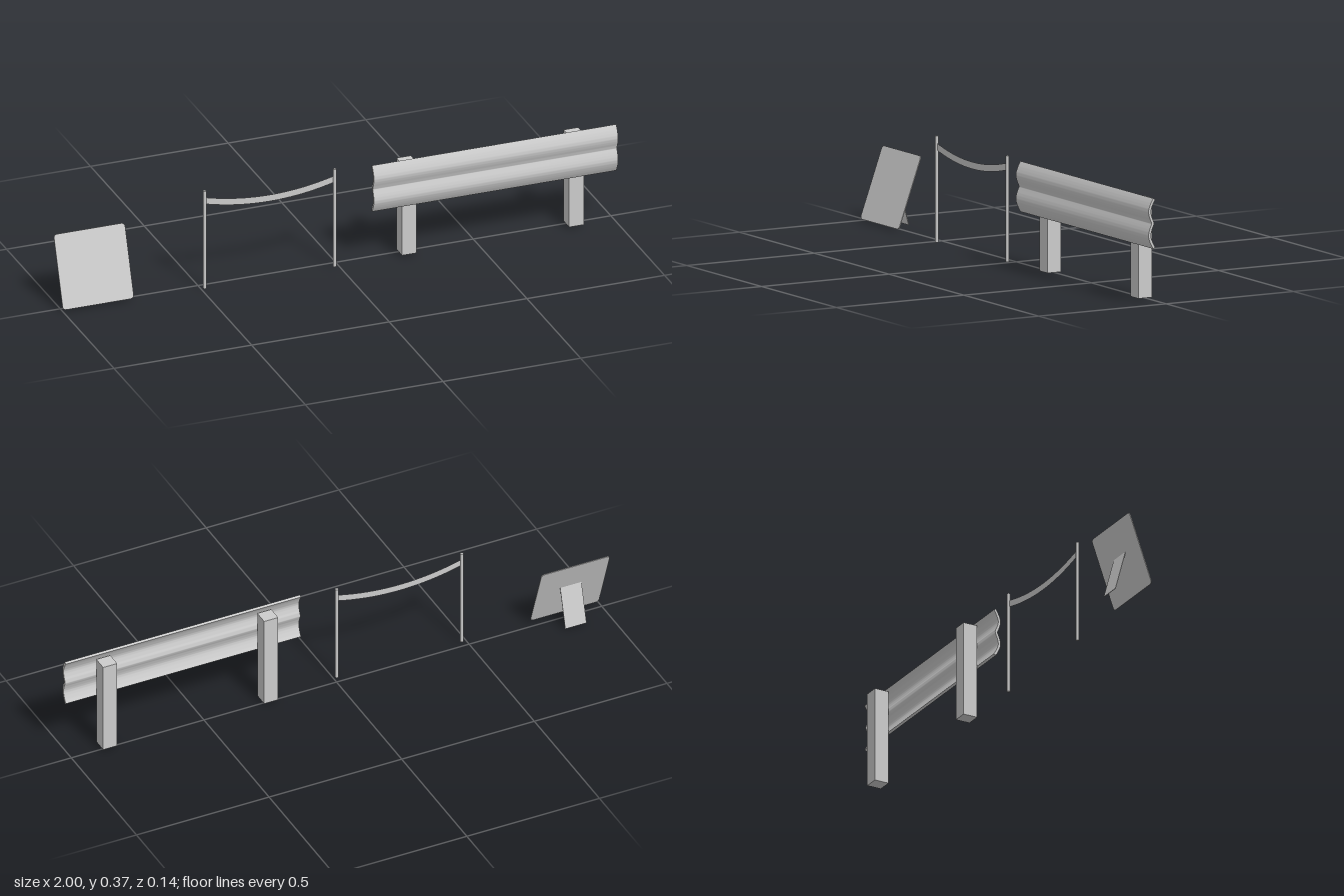
import * as THREE from 'three';
import { toCreasedNormals } from 'three/addons/utils/BufferGeometryUtils.js';

const material = new THREE.MeshStandardMaterial({ color: 0xcccccc });
const thinMaterial = new THREE.MeshStandardMaterial({ color: 0xcccccc, side: THREE.DoubleSide });

function addMesh(parent, name, geometry, x = 0, y = 0, z = 0, mat = material) {
  const mesh = new THREE.Mesh(geometry, mat);
  mesh.name = name;
  mesh.position.set(x, y, z);
  parent.add(mesh);
  return mesh;
}

// Corrugated beam: a wavy centre line thickened to both sides, extruded along x
function beamGeometry(length, thickness) {
  const wave = new THREE.SplineCurve([
    [0.0465, 0.364], [0.0565, 0.346], [0.0643, 0.322], [0.0592, 0.299], [0.052, 0.28],
    [0.0592, 0.261], [0.0643, 0.237], [0.0565, 0.213], [0.0465, 0.195],
  ].map(([z, y]) => new THREE.Vector2(-z, y)));
  const front = [], back = [];
  for (let i = 0; i <= 40; i++) {
    const p = wave.getPoint(i / 40), t = wave.getTangent(i / 40);
    const n = new THREE.Vector2(-t.y, t.x).multiplyScalar(thickness / 2);
    front.push(p.clone().add(n));
    back.unshift(p.clone().sub(n));
  }
  const shape = new THREE.Shape([...front, ...back]);
  const geometry = new THREE.ExtrudeGeometry(shape, { depth: length, bevelEnabled: false });
  return toCreasedNormals(geometry.rotateY(Math.PI / 2), 0.7);
}

// Sagging flat tape hung between two poles
function tapeGeometry(span, height, sag) {
  const geometry = new THREE.PlaneGeometry(span, height, 24, 1);
  const pos = geometry.attributes.position;
  for (let i = 0; i < pos.count; i++) {
    const u = pos.getX(i) / (span / 2);
    pos.setY(i, pos.getY(i) - sag * (1 - u * u));
  }
  return geometry;
}

// Thin board with rounded corners, centred on its origin
function boardGeometry(w, h, r, depth) {
  const x = w / 2, y = h / 2;
  const s = new THREE.Shape();
  s.absarc(x - r, y - r, r, 0, Math.PI / 2);
  s.absarc(-x + r, y - r, r, Math.PI / 2, Math.PI);
  s.absarc(-x + r, -y + r, r, Math.PI, 1.5 * Math.PI);
  s.absarc(x - r, -y + r, r, 1.5 * Math.PI, 2 * Math.PI);
  s.closePath();
  return new THREE.ExtrudeGeometry(s, { depth, bevelEnabled: false, curveSegments: 6 })
    .translate(0, 0, -depth / 2);
}

export function createModel() {
  const model = new THREE.Group();
  model.name = 'roadsideBarriers';

  // Guard rail on two square posts
  const guardRail = new THREE.Group();
  guardRail.name = 'guardRail';
  addMesh(guardRail, 'railBeam', beamGeometry(0.887, 0.009), 0.113);
  for (const x of [0.252, 0.859]) {
    addMesh(guardRail, 'railPost', new THREE.BoxGeometry(0.053, 0.342, 0.053), x, 0.176, 0.015);
  }

  // Tape strung between two slim poles
  const tapeBarrier = new THREE.Group();
  tapeBarrier.name = 'tapeBarrier';
  for (const x of [-0.486, -0.014]) {
    addMesh(tapeBarrier, 'pole', new THREE.CylinderGeometry(0.006, 0.006, 0.365, 12), x, 0.1825, 0.027);
  }
  addMesh(tapeBarrier, 'tape', tapeGeometry(0.472, 0.024, 0.031), -0.25, 0.328, 0.027, thinMaterial);

  // Leaning sign panel with a rear prop
  const sign = new THREE.Group();
  sign.name = 'standingSign';
  const panel = addMesh(sign, 'signPanel', boardGeometry(0.258, 0.26, 0.012, 0.003), -0.871, 0.128, -0.019);
  panel.rotation.x = -Math.atan2(0.088, 0.245);
  const prop = addMesh(sign, 'signProp', new THREE.BoxGeometry(0.08, 0.151, 0.002), -0.87, 0.0745, -0.046);
  prop.rotation.x = Math.atan2(0.039, 0.146);

  model.add(guardRail, tapeBarrier, sign);
  return model;
}
